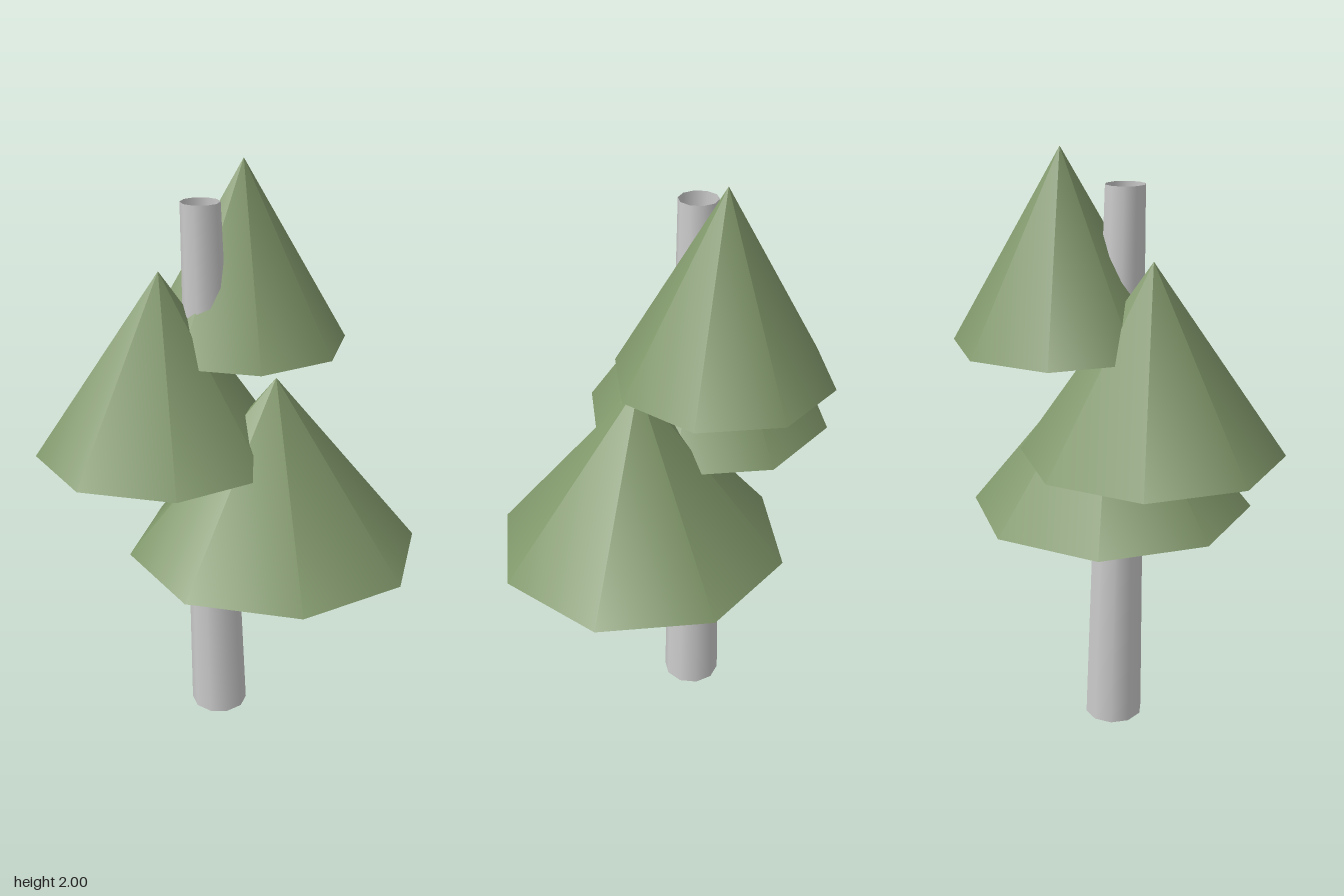
import * as THREE from 'three';

export function createModel() {
  const tree = new THREE.Group();
  tree.name = 'tree';
  const bark = new THREE.MeshStandardMaterial({ color: 0xcccccc, side: THREE.DoubleSide });
  const leaves = new THREE.MeshStandardMaterial({ color: 0x7f9669, side: THREE.DoubleSide });

  // Open, tapered trunk, sheared so that it leans slightly
  const height = 1.89;
  const trunkGeometry = new THREE.CylinderGeometry(0.065, 0.101, height, 10, 1, true, Math.PI / 2);
  trunkGeometry.translate(0, height / 2, 0);
  const lean = new THREE.Matrix4().set(
    1, -0.032 / height, 0, -0.082,
    0, 1, 0, 0,
    0, 0.044 / height, 1, -0.024,
    0, 0, 0, 1
  );
  trunkGeometry.applyMatrix4(lean);
  const trunk = new THREE.Mesh(trunkGeometry, bark);
  trunk.name = 'trunk';
  tree.add(trunk);

  // Hollow eight-sided foliage cones, offset around the trunk
  const tiers = [
    { name: 'lowerFoliage', x: 0.14, z: -0.048, base: 0.72, top: 1.335, radius: 0.5 },
    { name: 'middleFoliage', x: -0.215, z: 0.115, base: 1.05, top: 1.67, radius: 0.43 },
    { name: 'upperFoliage', x: -0.092, z: -0.185, base: 1.38, top: 2, radius: 0.36 },
  ];
  for (const { name, x, z, base, top, radius } of tiers) {
    const cone = new THREE.Mesh(new THREE.ConeGeometry(radius, top - base, 8, 1, true), leaves);
    cone.position.set(x, (base + top) / 2, z);
    cone.name = name;
    tree.add(cone);
  }
  return tree;
}
